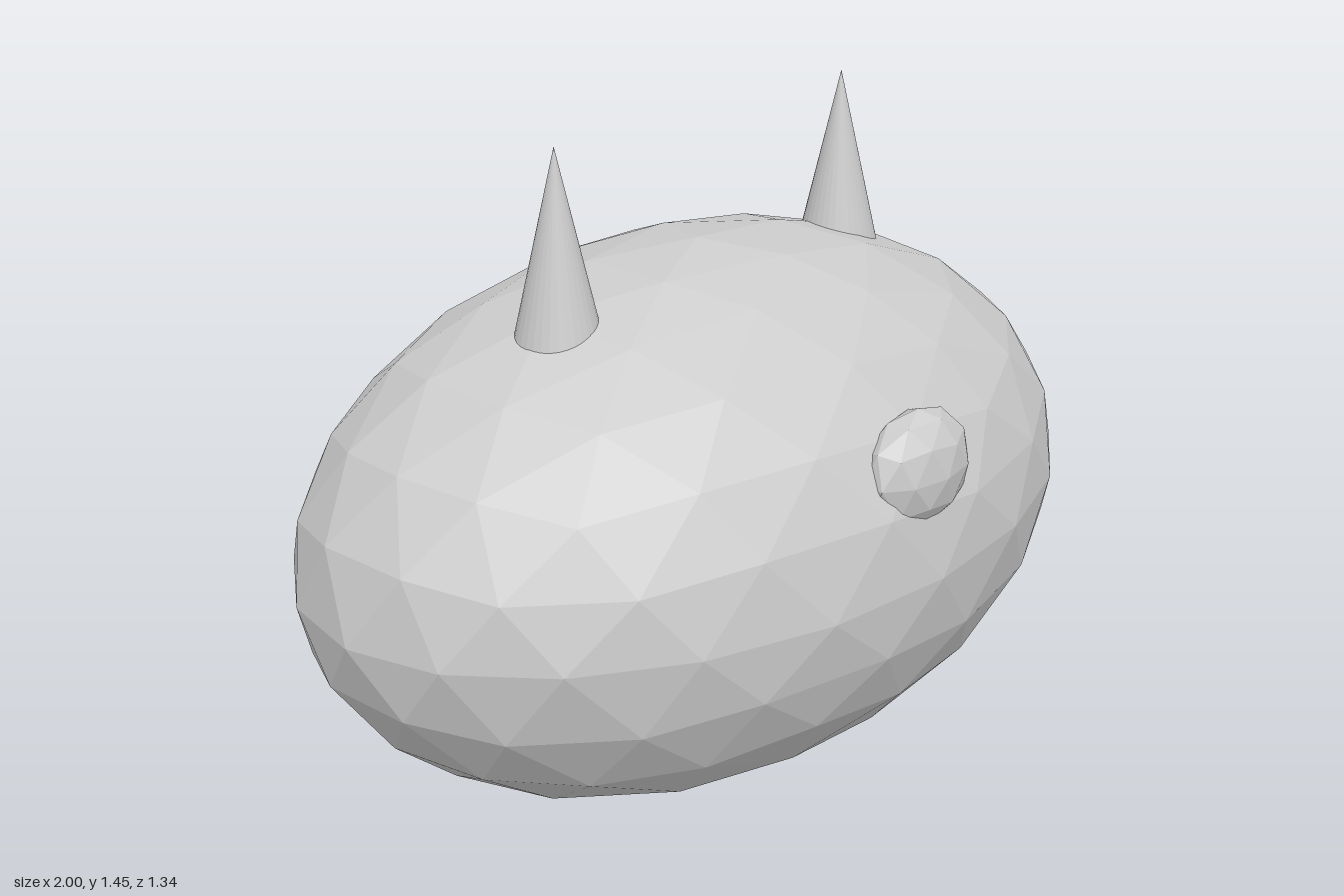
import * as THREE from 'three';

// Faceted ball with vertices at the poles, each split halving every edge
function icoBall(splits) {
  const points = [0, 1, 0];
  const ring = (y, offset) => {
    for (let i = 0; i < 5; i++) {
      const a = offset + (i * Math.PI * 2) / 5;
      points.push(0.8944 * Math.cos(a), y, -0.8944 * Math.sin(a));
    }
  };
  ring(0.4472, 0);
  ring(-0.4472, Math.PI / 5);
  points.push(0, -1, 0);

  const faces = [];
  for (let i = 0; i < 5; i++) {
    const j = (i + 1) % 5;
    faces.push(0, 1 + i, 1 + j);
    faces.push(1 + i, 6 + i, 1 + j);
    faces.push(1 + j, 6 + i, 6 + j);
    faces.push(11, 6 + j, 6 + i);
  }

  let ball = new THREE.PolyhedronGeometry(points, faces, 1, 0);
  for (let s = 0; s < splits; s++) {
    const p = Array.from(ball.attributes.position.array);
    const order = Array.from({ length: p.length / 3 }, (_, i) => i);
    ball = new THREE.PolyhedronGeometry(p, order, 1, 1);
  }
  return ball;
}

export function createModel() {
  const model = new THREE.Group();
  model.name = 'hornedCreature';
  const grey = new THREE.MeshStandardMaterial({ color: 0xcccccc, flatShading: true });
  grey.name = 'light grey';

  const add = (name, geometry, x, y, z) => {
    geometry.computeVertexNormals();
    const mesh = new THREE.Mesh(geometry, grey);
    mesh.name = name;
    mesh.position.set(x, y, z);
    model.add(mesh);
  };

  // Egg-shaped body
  add('body', icoBall(2).scale(1, 0.583, 0.667), 0, 0.585, 0);

  // Flattened nose sunk into the front
  add('nose', icoBall(1).scale(0.152, 0.128, 0.082), 0, 0.804, 0.586);

  // Pair of horns, their bases buried in the body
  for (const [name, side] of [['leftHorn', 1], ['rightHorn', -1]]) {
    add(name, new THREE.ConeGeometry(0.1, 0.435, 32), side * 0.445, 1.2375, 0.03);
  }

  return model;
}
